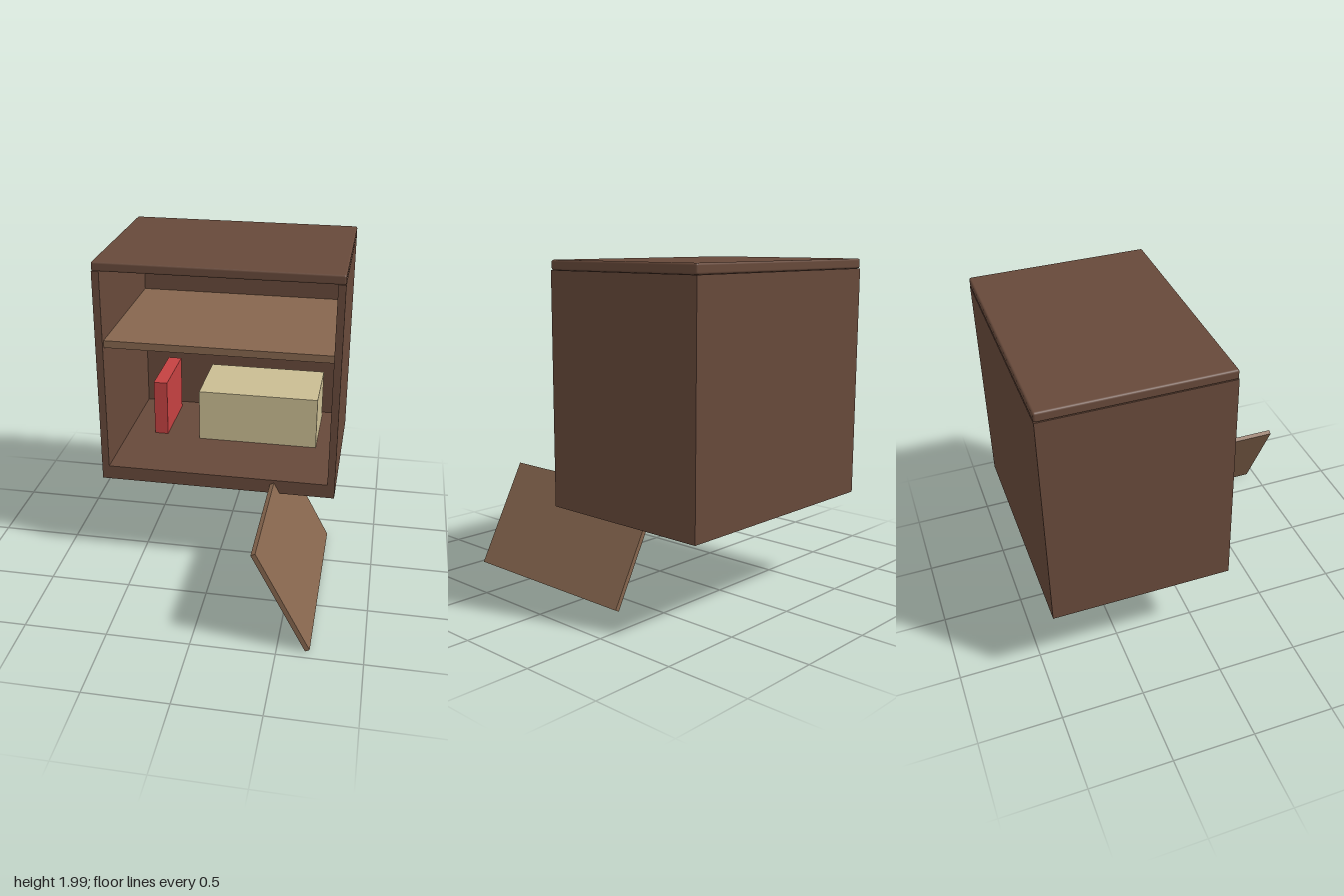
import * as THREE from 'three';
import { RoundedBoxGeometry } from 'three/addons/geometries/RoundedBoxGeometry.js';

const material = (name, color) => {
  const m = new THREE.MeshStandardMaterial({ color });
  m.name = name;
  return m;
};

export function createModel() {
  const darkWood = material('dark wood', 0x67493a);
  const lightWood = material('light wood', 0x86664e);
  const red = material('red', 0xc44141);
  const cream = material('cream', 0xc9bc92);

  const model = new THREE.Group();
  model.name = 'cabinet';

  // Box given by its min and max corners
  const block = (name, mat, [x0, y0, z0], [x1, y1, z1], parent = model) => {
    const mesh = new THREE.Mesh(new THREE.BoxGeometry(x1 - x0, y1 - y0, z1 - z0), mat);
    mesh.position.set((x0 + x1) / 2, (y0 + y1) / 2, (z0 + z1) / 2);
    mesh.name = name;
    parent.add(mesh);
    return mesh;
  };

  // Carcass: two sides, floor and back, open at the front
  const W = 0.7425, IN = 0.697, BACK = -0.945, FRONT = 0.145;
  const BASE = 0.565, FLOOR = 0.655, TOP = 1.942;
  block('rightSide', darkWood, [-W, BASE, BACK], [-IN, TOP, FRONT]);
  block('leftSide', darkWood, [IN, BASE, BACK], [W, TOP, FRONT]);
  block('floor', darkWood, [-IN, BASE, BACK], [IN, FLOOR, FRONT]);
  block('backPanel', darkWood, [-IN, FLOOR, BACK], [IN, TOP, BACK + 0.045]);

  // Top board with softened edges
  const top = new THREE.Mesh(new RoundedBoxGeometry(2 * W, 0.058, FRONT - BACK, 2, 0.012), darkWood);
  top.position.set(0, 1.971, (FRONT + BACK) / 2);
  top.name = 'topBoard';
  model.add(top);

  // Shelf and contents
  block('shelf', lightWood, [-IN, 1.457, BACK + 0.045], [IN, 1.503, 0.12]);
  block('book', red, [-0.52, FLOOR, -0.82], [-0.43, 1.03, -0.37]);
  block('storageBox', cream, [-0.205, FLOOR, -0.82], [0.58, 1.0, -0.34]);

  // Fallen door leaning beneath the cabinet, with its small knob
  const door = new THREE.Group();
  door.name = 'door';
  door.position.set(0.515, 0.3225, 0.3225);
  door.rotation.z = 0.486;
  block('doorPanel', lightWood, [-0.0145, -0.348, -0.6225], [0.0145, 0.348, 0.6225], door);
  block('doorKnob', cream, [-0.046, 0.254, 0.0275], [-0.013, 0.285, 0.1175], door);
  model.add(door);

  return model;
}
